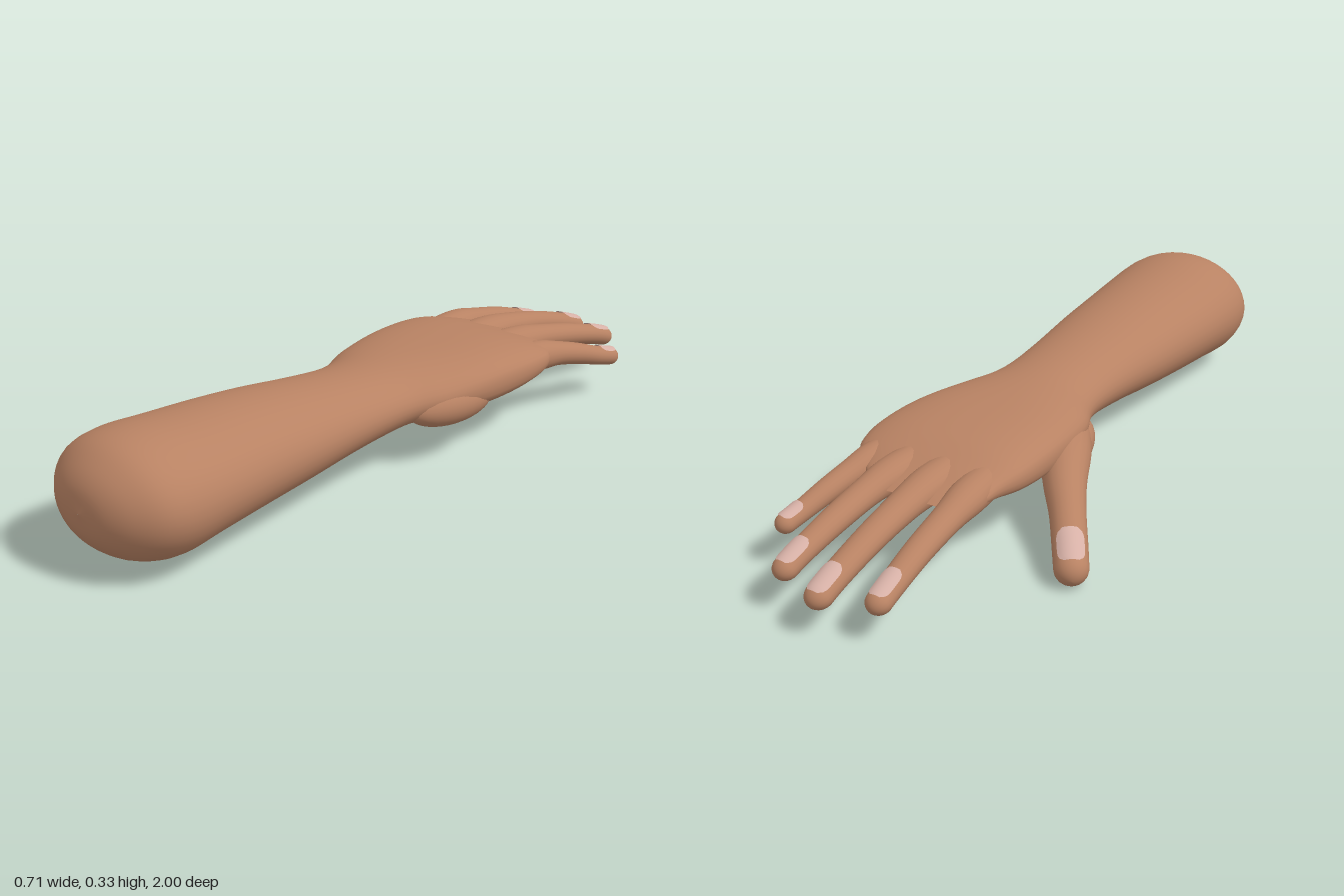
import * as THREE from 'three';

const V = (a) => new THREE.Vector3(...a);

// Smooth surface from a grid of points: rows run along the limb, columns around it
function grid(rows, cols, closed, point) {
  const pos = [], idx = [], n = closed ? cols : cols + 1;
  for (let i = 0; i <= rows; i++)
    for (let j = 0; j < n; j++) pos.push(...point(i / rows, j / cols).toArray());
  for (let i = 0; i < rows; i++)
    for (let j = 0; j < cols; j++) {
      const k = (j + 1) % n;
      const a = i * n + j, b = i * n + k, c = a + n, d = (i + 1) * n + k;
      idx.push(a, b, c, b, d, c);
    }
  const g = new THREE.BufferGeometry();
  g.setAttribute('position', new THREE.Float32BufferAttribute(pos, 3));
  g.setIndex(idx);
  g.computeVertexNormals();
  return g;
}

// Digit: points are [x, y, z, radius]; returns surface(u, angle, offset)
function digitSurface(points, flat) {
  const path = new THREE.CatmullRomCurve3(points.map((p) => V(p)), false, 'catmullrom', 0.5);
  const radii = new THREE.CatmullRomCurve3(points.map((p) => V([p[3], 0, 0])), false, 'catmullrom', 0.5);
  const length = path.getLength();
  return (u, angle, offset = 0) => {
    const c = path.getPointAt(u), t = path.getTangentAt(u);
    let r = radii.getPoint(path.getUtoTmapping(u)).x;
    const d = length * (1 - u), tip = points[points.length - 1][3];
    if (d < tip) r *= Math.sqrt(Math.max(1e-5, 1 - (1 - d / tip) ** 2)); // round tip
    const side = new THREE.Vector3(0, 1, 0).cross(t).normalize();
    const up = t.clone().cross(side);
    return c.addScaledVector(side, Math.cos(angle) * (r + offset))
      .addScaledVector(up, Math.sin(angle) * (r * flat + offset));
  };
}

export function createModel() {
  const model = new THREE.Group();
  const skin = new THREE.MeshStandardMaterial({ color: 0xb88263 });
  skin.name = 'skin';
  const nail = new THREE.MeshStandardMaterial({ color: 0xd6b0a6, side: THREE.DoubleSide });
  nail.name = 'nail';
  const add = (name, geometry, material = skin, parent = model) => {
    const m = new THREE.Mesh(geometry, material);
    m.name = name;
    parent.add(m);
    return m;
  };

  // Forearm, wrist and palm: z, left x, right x, bottom y, top y
  const sections = [
    [1.0, 0.119, 0.121, 0.179, 0.181], [0.988, 0.04, 0.2, 0.12, 0.24],
    [0.955, -0.025, 0.265, 0.075, 0.285], [0.9, -0.078, 0.315, 0.04, 0.32],
    [0.82, -0.096, 0.332, 0.023, 0.331], [0.7, -0.093, 0.326, 0.036, 0.322],
    [0.55, -0.082, 0.312, 0.048, 0.313], [0.4, -0.068, 0.3, 0.062, 0.3],
    [0.25, -0.048, 0.285, 0.078, 0.282], [0.12, -0.04, 0.278, 0.09, 0.268],
    [0.03, -0.055, 0.285, 0.098, 0.263], [-0.06, -0.095, 0.315, 0.1, 0.264],
    [-0.18, -0.117, 0.342, 0.105, 0.265], [-0.3, -0.125, 0.354, 0.112, 0.265],
    [-0.4, -0.121, 0.352, 0.126, 0.256], [-0.48, -0.103, 0.33, 0.146, 0.235],
    [-0.54, -0.092, 0.27, 0.16, 0.214], [-0.585, -0.06, 0.215, 0.172, 0.2],
    [-0.615, -0.02, 0.17, 0.185, 0.188],
  ];
  const curve = (f) => new THREE.CatmullRomCurve3(sections.map(f), false, 'catmullrom', 0.5);
  const centres = curve(([z, l, r, b, t]) => V([(l + r) / 2, (b + t) / 2, z]));
  const sizes = curve(([z, l, r, b, t]) => V([(r - l) / 2, (t - b) / 2, 0]));
  const round = (v, e) => Math.sign(v) * Math.abs(v) ** e;
  add('forearmAndPalm', grid(90, 40, true, (u, v) => {
    const c = centres.getPoint(u), s = sizes.getPoint(u), a = v * Math.PI * 2;
    const e = 1 - 0.22 * THREE.MathUtils.smoothstep(-c.z, 0, 0.25); // palm is boxier
    return c.add(V([-s.x * round(Math.cos(a), e), s.y * round(Math.sin(a), e), 0]));
  }));

  // Fleshy pads at the heel of the hand
  for (const [name, at, size, turn] of [
    ['thumbPad', [-0.045, 0.13, -0.07], [0.065, 0.06, 0.13], 0.35],
    ['littleFingerPad', [0.275, 0.157, -0.11], [0.062, 0.056, 0.14], -0.15],
  ]) {
    const pad = add(name, new THREE.SphereGeometry(1, 28, 18));
    pad.position.set(...at);
    pad.scale.set(...size);
    pad.rotation.y = turn;
  }

  // Digits: path points with radius, flattening, and nail range along the path
  const digits = {
    indexFinger: [[[-0.035, 0.19, -0.42, 0.05], [-0.047, 0.187, -0.54, 0.05], [-0.053, 0.176, -0.63, 0.041],
      [-0.058, 0.152, -0.75, 0.037], [-0.063, 0.12, -0.86, 0.034], [-0.067, 0.092, -0.945, 0.033]], 0.86, 0.79, 0.95],
    middleFinger: [[[0.065, 0.195, -0.42, 0.05], [0.065, 0.192, -0.54, 0.053], [0.065, 0.183, -0.64, 0.045],
      [0.065, 0.16, -0.77, 0.04], [0.066, 0.125, -0.9, 0.037], [0.067, 0.09, -0.998, 0.036]], 0.84, 0.81, 0.96],
    ringFinger: [[[0.165, 0.195, -0.42, 0.05], [0.178, 0.19, -0.54, 0.051], [0.185, 0.181, -0.63, 0.042],
      [0.192, 0.158, -0.75, 0.038], [0.198, 0.128, -0.87, 0.034], [0.202, 0.1, -0.955, 0.033]], 0.86, 0.8, 0.95],
    littleFinger: [[[0.262, 0.19, -0.4, 0.045], [0.277, 0.183, -0.5, 0.045], [0.289, 0.173, -0.57, 0.037],
      [0.304, 0.154, -0.65, 0.033], [0.32, 0.13, -0.73, 0.029], [0.332, 0.112, -0.803, 0.028]], 0.92, 0.8, 0.95],
    thumb: [[[-0.03, 0.145, -0.04, 0.055], [-0.085, 0.142, -0.15, 0.066], [-0.152, 0.125, -0.262, 0.056],
      [-0.215, 0.1, -0.35, 0.047], [-0.275, 0.066, -0.435, 0.045], [-0.335, 0.034, -0.522, 0.043]], 0.95, 0.76, 0.94],
  };
  for (const [name, [points, flat, from, to]] of Object.entries(digits)) {
    const group = new THREE.Group();
    group.name = name;
    model.add(group);
    const surface = digitSurface(points, flat);
    add(name + 'Flesh', grid(40, 20, true, (u, v) => surface(1 - (1 - u) ** 2, v * Math.PI * 2)), skin, group);
    // Nail: a thin curved plate on top, with rounded ends
    add(name + 'Nail', grid(10, 8, false, (u, v) => {
      const half = 0.8 * (1 - 0.5 * Math.abs(2 * u - 1) ** 5);
      return surface(from + (to - from) * u, Math.PI / 2 + (2 * v - 1) * half, 0.003);
    }), nail, group);
  }
  return model;
}
